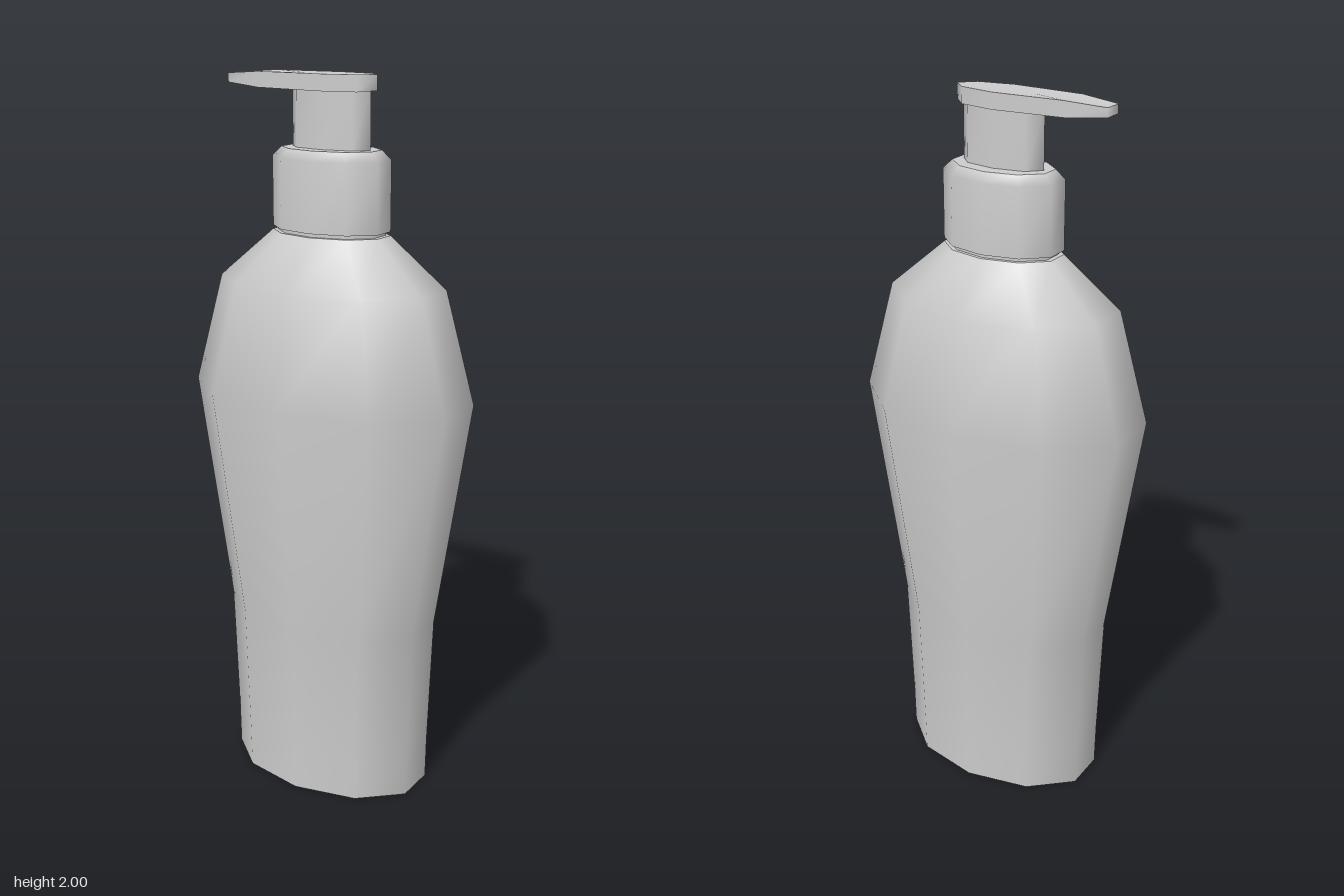
import * as THREE from 'three';

const material = new THREE.MeshStandardMaterial({ color: 0xcccccc, side: THREE.DoubleSide });

// Skin a stack of rings (counter-clockwise from above): smooth sides, crisp end caps
function loft(name, rings) {
  const n = rings[0].length;
  const pos = rings.flat(2);
  const index = [];
  for (let r = 0; r < rings.length - 1; r++) {
    for (let j = 0; j < n; j++) {
      const k = (j + 1) % n;
      const a = r * n + j, b = r * n + k;
      index.push(a, b, b + n, a, b + n, a + n);
    }
  }
  const addCap = (ring, up) => {
    const start = pos.length / 3;
    const centre = [0, 1, 2].map(i => ring.reduce((sum, p) => sum + p[i], 0) / n);
    pos.push(...ring.flat(), ...centre);
    for (let j = 0; j < n; j++) {
      const a = start + j, b = start + (j + 1) % n;
      index.push(start + n, up ? a : b, up ? b : a);
    }
  };
  addCap(rings[0], false);
  addCap(rings[rings.length - 1], true);

  const geometry = new THREE.BufferGeometry();
  geometry.setAttribute('position', new THREE.Float32BufferAttribute(pos, 3));
  geometry.setIndex(index);
  geometry.computeVertexNormals();
  const mesh = new THREE.Mesh(geometry, material);
  mesh.name = name;
  return mesh;
}

// Stretched polygon with half-width rx and half-depth rz
function oval(y, rx, rz, sides = 10, offset = Math.PI / 10) {
  return Array.from({ length: sides }, (_, i) => {
    const t = offset + (i / sides) * Math.PI * 2;
    return [rx * Math.cos(t) / Math.cos(offset), y, -rz * Math.sin(t)];
  });
}

const ovals = profile => profile.map(([y, rx, rz]) => oval(y, rx, rz));

export function createModel() {
  const group = new THREE.Group();
  group.name = 'pumpBottle';

  // Bottle with broad shoulders
  group.add(loft('bottle', ovals([
    [0, 0.289, 0.195], [0.12, 0.291, 0.197], [0.5, 0.304, 0.205],
    [1.15, 0.397, 0.268], [1.455, 0.316, 0.214], [1.59, 0.163, 0.11],
  ])));

  // Thin neck showing below the collar
  group.add(loft('neck', ovals([[1.585, 0.15, 0.1], [1.61, 0.15, 0.1]])));

  // Screw collar with a bevelled top
  group.add(loft('collar', ovals([
    [1.6, 0.163, 0.11], [1.785, 0.163, 0.11], [1.81, 0.138, 0.09],
  ])));

  // Pump stem
  group.add(loft('stem', [oval(1.8, 0.12, 0.05, 8, 0), oval(1.97, 0.12, 0.05, 8, 0)]));

  // Pump head: half outline as x, half depth, bottom y, top y
  const half = [
    [0.138, 0, 1.96, 2], [0.1, 0.037, 1.957, 2], [0, 0.055, 1.957, 2],
    [-0.2, 0.045, 1.959, 2], [-0.308, 0.027, 1.968, 1.992],
  ];
  const outline = [
    ...half.map(([x, z, lo, hi]) => [x, -z, lo, hi]),
    ...half.slice(1).reverse(),
  ];
  group.add(loft('pumpHead', [2, 3].map(i => outline.map(p => [p[0], p[i], p[1]]))));

  return group;
}
